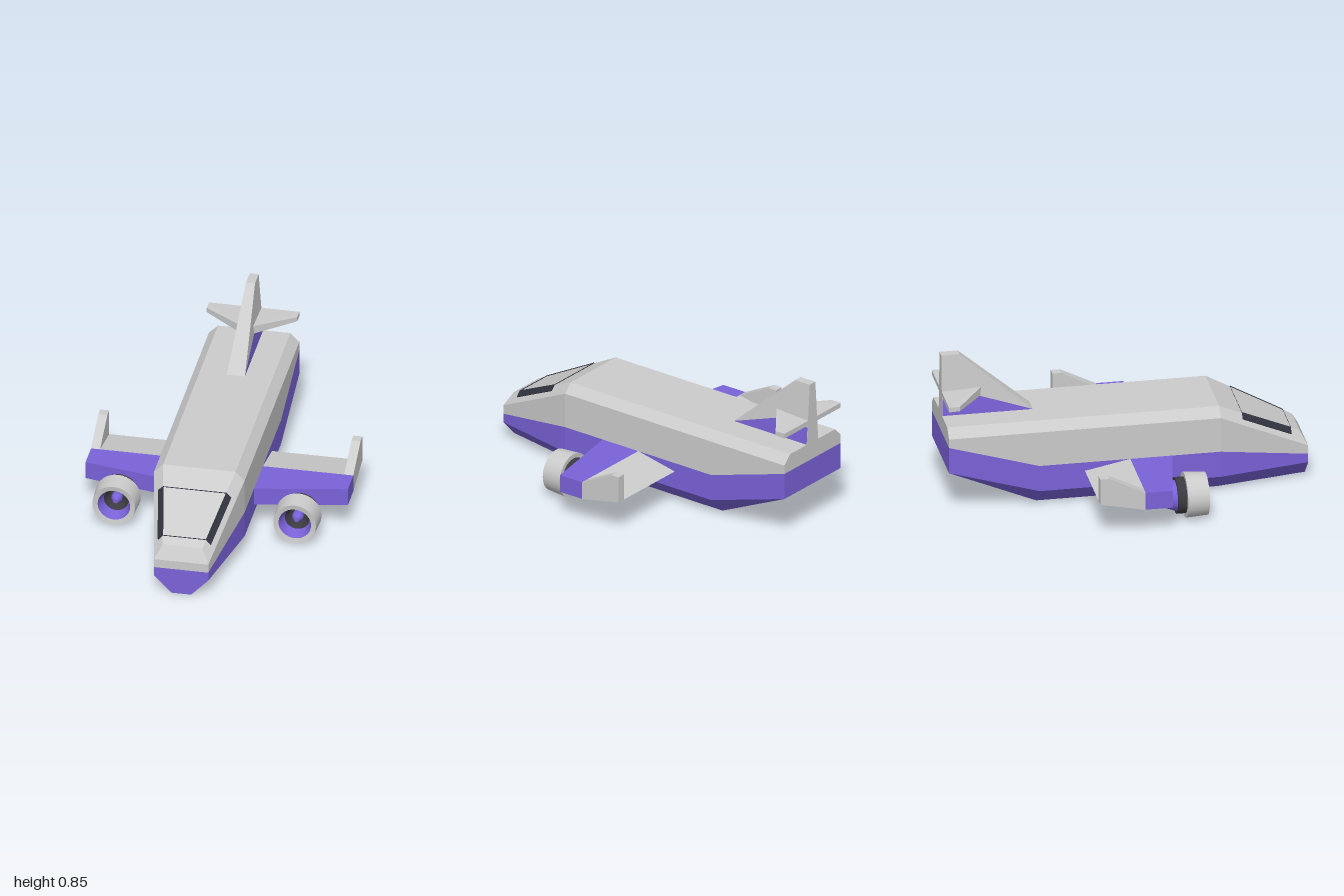
import * as THREE from 'three';

const paint = (color) => new THREE.MeshStandardMaterial({ color, side: THREE.DoubleSide });
const CX = -0.025; // centre line of the fuselage

// Flat-shaded solid through rings of corners; outward winding comes from the signed volume.
function loft(name, rings, material) {
  const tris = [];
  const quad = (a, b, c, d) => tris.push([a, b, c], [a, c, d]);
  const n = rings[0].length;
  for (let r = 0; r < rings.length - 1; r++) {
    for (let i = 0; i < n; i++) {
      const j = (i + 1) % n;
      quad(rings[r][i], rings[r][j], rings[r + 1][j], rings[r + 1][i]);
    }
  }
  // Caps are strips between opposite halves of a ring
  const last = rings[rings.length - 1];
  for (let i = 0; i < n / 2 - 1; i++) {
    quad(rings[0][n - 1 - i], rings[0][n - 2 - i], rings[0][i + 1], rings[0][i]);
    quad(last[i], last[i + 1], last[n - 2 - i], last[n - 1 - i]);
  }
  let volume = 0;
  const solid = tris.map((t) => t.map((p) => new THREE.Vector3(...p))).filter(([a, b, c]) => {
    volume += a.dot(b.clone().cross(c));
    return b.clone().sub(a).cross(c.clone().sub(a)).length() > 1e-7;
  });
  const corners = solid.flatMap(([a, b, c]) => (volume < 0 ? [a, c, b] : [a, b, c]));
  const geometry = new THREE.BufferGeometry().setFromPoints(corners);
  geometry.computeVertexNormals();
  const mesh = new THREE.Mesh(geometry, material);
  mesh.name = name;
  return mesh;
}

// Mirrors half of a cross-section [halfWidth, y, z] about the fuselage centre line
const mirrored = (half) => [
  ...half.map(([w, y, z]) => [CX - w, y, z]),
  ...half.map(([w, y, z]) => [CX + w, y, z]).reverse(),
];

// Extrudes a side outline [z, y] between two x positions
const slab = (name, outline, x0, x1, material) =>
  loft(name, [x0, x1].map((x) => outline.map(([z, y]) => [x, y, z])), material);

export function createModel() {
  const model = new THREE.Group();
  model.name = 'jet';
  const grey = paint(0xcccccc);
  const purple = paint(0x7a62d8);
  const glass = paint(0x30333f);
  const dark = paint(0x3a3a40);

  // Fuselage: nose, front shoulder, rear shoulder, tail
  const lower = [
    [[0.055, 0, 1], [0.15, 0.1, 1], [0.15, 0.15, 1]],
    [[0.15, 0, 0.5], [0.25, 0.1, 0.5], [0.25, 0.25, 0.5]],
    [[0.15, 0, -0.5], [0.25, 0.1, -0.5], [0.25, 0.25, -0.5]],
    [[0.25, 0.25, -1], [0.25, 0.25, -1], [0.25, 0.4, -1]],
  ];
  const upper = [
    [[0.15, 0.15, 1], [0.15, 0.2, 1], [0.11, 0.275, 0.96]],
    [[0.25, 0.25, 0.5], [0.25, 0.45, 0.5], [0.2, 0.5, 0.5]],
    [[0.25, 0.25, -0.5], [0.25, 0.45, -0.5], [0.2, 0.5, -0.5]],
    [[0.25, 0.4, -1], [0.25, 0.45, -1], [0.2, 0.5, -1]],
  ];
  model.add(loft('lowerHull', lower.map(mirrored), purple));
  model.add(loft('upperHull', upper.map(mirrored), grey));

  // Windscreen wrapped over the chamfers of the sloping nose
  const pane = (z) => {
    const t = (0.96 - z) / 0.46;
    const s = (1 - z) / 0.5;
    const ridge = [0.11 + 0.09 * t, 0.275 + 0.225 * t];
    const shoulder = [0.15 + 0.1 * s, 0.2 + 0.25 * s];
    const edge = ridge.map((v, i) => (v + shoulder[i]) / 2);
    return mirrored([
      [edge[0] - 0.01, edge[1] - 0.015, z],
      [edge[0] + 0.004, edge[1] + 0.003, z],
      [ridge[0], ridge[1] + 0.005, z],
      [ridge[0] - 0.01, ridge[1] - 0.015, z],
    ]);
  };
  model.add(loft('windscreen', [pane(0.91), pane(0.63)], glass));

  // Wings: swept leading box, wedge behind it and an upright tip
  for (const side of [-1, 1]) {
    const wing = new THREE.Group();
    wing.name = side > 0 ? 'leftWing' : 'rightWing';
    const front = [0.2, 0.725].map((x) => {
      const z = 0.285 - 0.187 * x;
      return [[0, 0.15], [0, 0.25], [z, 0.25], [z, 0.15]].map(([pz, y]) => [side * x, y, pz]);
    });
    wing.add(loft('wingFront', front, purple));
    wing.add(slab('wingRear', [[0, 0.15], [0, 0.25], [-0.25, 0.2], [-0.25, 0.2]], side * 0.2, side * 0.725, grey));
    wing.add(slab('winglet', [[0, 0.25], [-0.2, 0.35], [-0.25, 0.35], [-0.25, 0.2]], side * 0.675, side * 0.725, grey));
    model.add(wing);
  }

  // Fin, thinner towards the top
  const finWidth = (y) => 0.05 - (0.025 * (y - 0.5)) / 0.35;
  const fin = (name, outline, material) =>
    loft(name, [-1, 1].map((s) => outline.map(([z, y]) => [CX + s * finWidth(y), y, z])), material);
  model.add(fin('finBase', [[-0.5, 0.5], [-0.79, 0.6], [-0.998, 0.6], [-0.998, 0.5]], purple));
  model.add(fin('fin', [[-0.5, 0.5], [-0.9, 0.85], [-1, 0.85], [-1, 0.6], [-0.79, 0.6], [-0.5, 0.5]], grey));
  model.add(fin('finRearEdge', [[-0.998, 0.5], [-0.998, 0.6], [-1, 0.6], [-1, 0.5]], grey));

  // Tailplane halves
  for (const side of [-1, 1]) {
    const section = (w, z, low, high) =>
      [[z, low], [z, high], [-1, 0.64], [-1, 0.612]].map(([pz, y]) => [CX + side * w, y, pz]);
    model.add(loft('tailplane', [section(0.02, -0.77, 0.602, 0.652), section(0.25, -0.94, 0.614, 0.64)], grey));
  }

  // Engines: each piece is turned from a short [radius, z] profile
  const pieces = [
    ['cowl', grey, [[0.125, 0.25], [0.118, 0.37]]],
    ['cowlBack', grey, [[0.09, 0.25], [0.125, 0.25]]],
    ['intakeLip', grey, [[0.118, 0.37], [0.09, 0.365]]],
    ['intakeWall', purple, [[0.09, 0.365], [0.068, 0.3]]],
    ['intakeThroat', dark, [[0.068, 0.3], [0.045, 0.26]]],
    ['fanDisc', dark, [[0.045, 0.26], [0, 0.26]]],
    ['hub', purple, [[0.03, 0.26], [0.03, 0.29]]],
    ['hubNose', purple, [[0.03, 0.29], [0.014, 0.32]]],
    ['hubTip', purple, [[0.014, 0.32], [0, 0.32]]],
    ['engineBody', dark, [[0.1, 0.2], [0.1, 0.255]]],
    ['engineBodyBack', dark, [[0.08, 0.2], [0.1, 0.2]]],
    ['exhaust', purple, [[0.06, 0.13], [0.085, 0.2]]],
    ['exhaustEnd', purple, [[0, 0.13], [0.06, 0.13]]],
  ];
  for (const side of [-1, 1]) {
    const engine = new THREE.Group();
    engine.name = side > 0 ? 'leftEngine' : 'rightEngine';
    for (const [name, material, profile] of pieces) {
      const points = profile.map(([r, z]) => new THREE.Vector2(r, z));
      const mesh = new THREE.Mesh(new THREE.LatheGeometry(points, 32).rotateX(Math.PI / 2), material);
      mesh.name = name;
      engine.add(mesh);
    }
    engine.position.set(CX + side * 0.5, 0.128, 0);
    model.add(engine);
  }
  return model;
}
